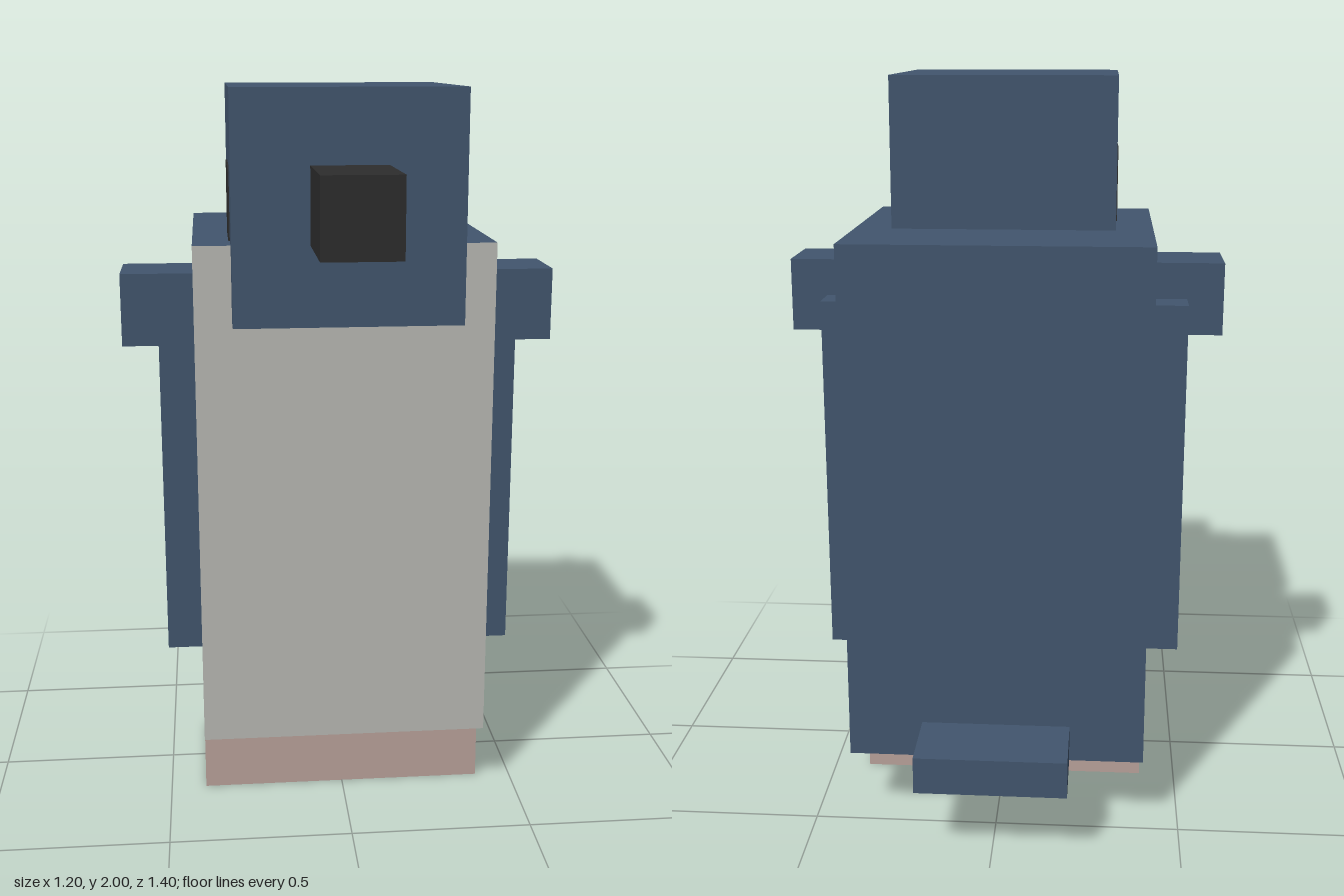
import * as THREE from 'three';

const mat = (name, color) => {
  const m = new THREE.MeshStandardMaterial({ color });
  m.name = name;
  return m;
};

export function createModel() {
  const blue = mat('slate blue', 0x42566e);
  const grey = mat('belly grey', 0xb8b9b4);
  const pink = mat('foot pink', 0xbaa29b);
  const black = mat('charcoal', 0x2d2d2d);

  const model = new THREE.Group();
  model.name = 'blockBird';

  // Box given by its two opposite corners
  const box = (name, material, [x0, y0, z0], [x1, y1, z1]) => {
    const mesh = new THREE.Mesh(new THREE.BoxGeometry(x1 - x0, y1 - y0, z1 - z0), material);
    mesh.position.set((x0 + x1) / 2, (y0 + y1) / 2, (z0 + z1) / 2);
    mesh.name = name;
    model.add(mesh);
    return mesh;
  };

  // Body: face order +x, -x, +y, -y, +z, -z; belly and underside are grey
  box('body', [blue, blue, blue, grey, grey, blue], [-0.4, 0.2, -0.5], [0.4, 1.6, 0.3]);
  box('head', blue, [-0.3, 1.4, -0.2], [0.3, 2, 0.4]);
  box('beak', black, [-0.1, 1.61, 0.4], [0.1, 1.81, 0.7]);
  box('feet', pink, [-0.4, 0, -0.2], [0.4, 0.2, 0.2]);
  box('tail', blue, [-0.2, 0.2, -0.7], [0.2, 0.3, -0.5]);

  // Eye outline with clipped round upper corners
  const r = 0.02;
  const eyeShape = new THREE.Shape();
  eyeShape.moveTo(-0.1, 0);
  eyeShape.lineTo(0.1, 0);
  eyeShape.lineTo(0.1, 0.2 - r);
  eyeShape.quadraticCurveTo(0.1, 0.2, 0.1 - r, 0.2);
  eyeShape.lineTo(-0.1 + r, 0.2);
  eyeShape.quadraticCurveTo(-0.1, 0.2, -0.1, 0.2 - r);
  eyeShape.closePath();
  const eyeGeometry = new THREE.ExtrudeGeometry(eyeShape, { depth: 0.004, bevelEnabled: false, curveSegments: 4 });

  // Mirrored wings, shoulders and eyes
  for (const [side, s] of [['left', 1], ['right', -1]]) {
    const span = (a, b) => (s > 0 ? [a, b] : [-b, -a]);
    const [w0, w1] = span(0.4, 0.5);
    box(`${side}Wing`, blue, [w0, 0.4, -0.2], [w1, 1.4, 0.1]);
    const [s0, s1] = span(0.4, 0.6);
    box(`${side}Shoulder`, blue, [s0, 1.3, -0.1], [s1, 1.5, 0.1]);

    const eye = new THREE.Mesh(eyeGeometry, black);
    eye.name = `${side}Eye`;
    eye.position.set(s * 0.3, 1.6, 0.1);
    eye.rotation.y = s * Math.PI / 2;
    model.add(eye);
  }

  return model;
}
